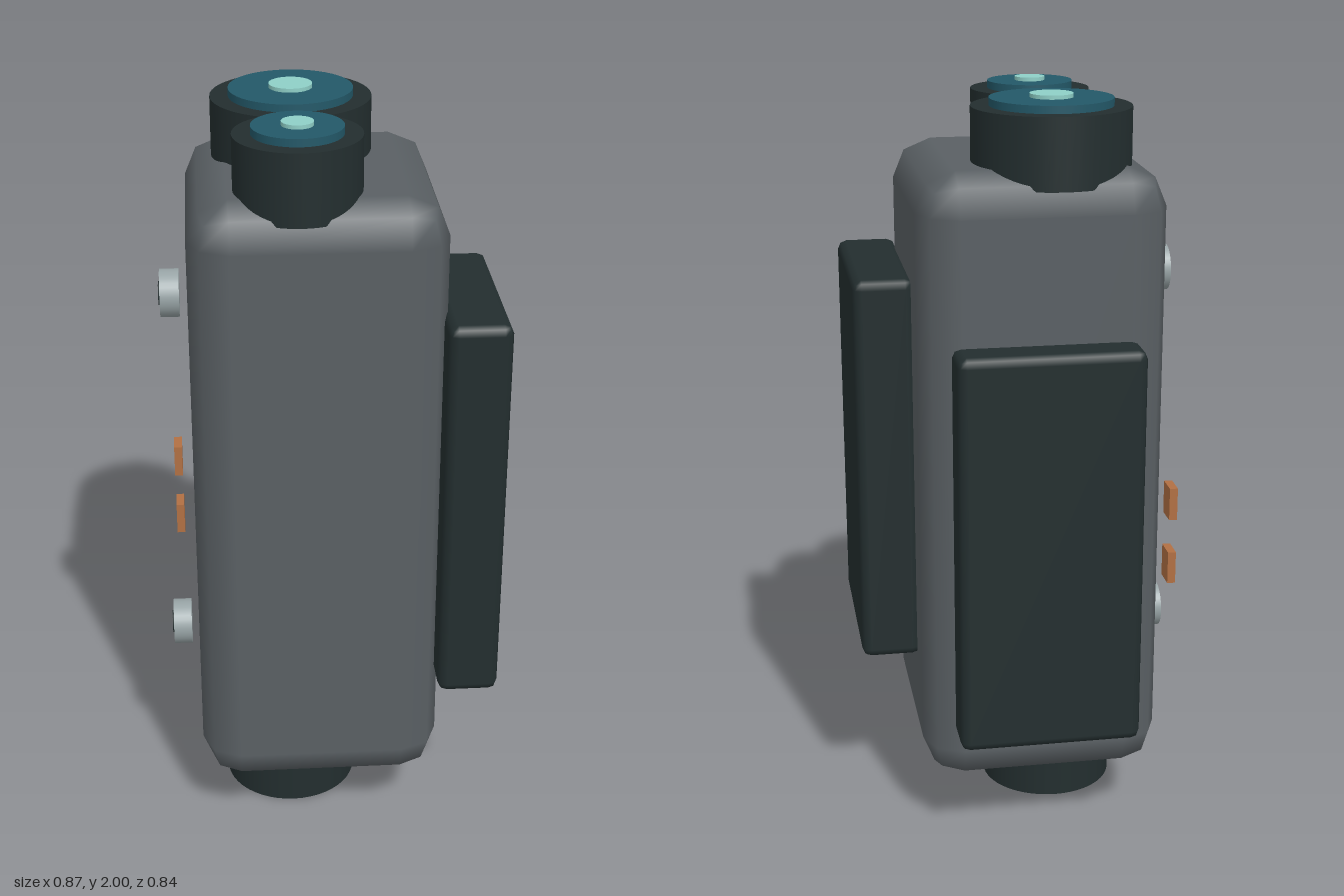
import * as THREE from 'three';
import { RoundedBoxGeometry } from 'three/addons/geometries/RoundedBoxGeometry.js';

function material(name, color) {
  const m = new THREE.MeshStandardMaterial({ color });
  m.name = name;
  return m;
}

export function createModel() {
  const grey = material('housing grey', 0x5a6064);
  const dark = material('dark rubber', 0x232e2f);
  const teal = material('deep teal', 0x235868);
  const mint = material('pale mint', 0x8ecfc7);
  const steel = material('steel', 0x98a4a6);
  const copper = material('copper', 0xb27043);

  const model = new THREE.Group();
  model.name = 'device';

  function add(parent, name, geometry, mat, x, y, z) {
    const mesh = new THREE.Mesh(geometry, mat);
    mesh.name = name;
    mesh.position.set(x, y, z);
    parent.add(mesh);
    return mesh;
  }

  // Upright cylinder between two heights
  function disc(parent, name, mat, radius, y0, y1, x, z) {
    return add(parent, name, new THREE.CylinderGeometry(radius, radius, y1 - y0, 48), mat, x, (y0 + y1) / 2, z);
  }

  // Main housing with softly chamfered edges
  add(model, 'housing', new RoundedBoxGeometry(0.645, 1.665, 0.716, 1, 0.104), grey, -0.04, 0.9975, 0.04);

  // Slabs on the left side and the back
  add(model, 'sidePack', new RoundedBoxGeometry(0.161, 1.063, 0.53, 1, 0.024), dark, 0.3525, 0.9985, 0.155);
  add(model, 'backPack', new RoundedBoxGeometry(0.483, 1.08, 0.161, 1, 0.024), dark, -0.038, 0.86, -0.3415);

  // Round foot under the housing
  disc(model, 'foot', dark, 0.183, 0, 0.22, -0.11, 0.066);

  // Two stepped lenses on top
  const lenses = [
    { name: 'largeLens', z: -0.1, rim: 0.207, glass: 0.16, core: 0.056 },
    { name: 'smallLens', z: 0.225, rim: 0.16, glass: 0.114, core: 0.04 },
  ];
  for (const l of lenses) {
    const lens = new THREE.Group();
    lens.name = l.name;
    disc(lens, 'rim', dark, l.rim, 1.785, 1.97, -0.085, l.z);
    disc(lens, 'glass', teal, l.glass, 1.95, 1.99, -0.085, l.z);
    disc(lens, 'core', mint, l.core, 1.98, 2.0, -0.085, l.z);
    model.add(lens);
  }

  // Socket screws standing off the right side
  for (const y of [0.5, 1.5]) {
    const screw = new THREE.Group();
    screw.name = 'screw';
    const head = add(screw, 'head', new THREE.CylinderGeometry(0.0625, 0.0625, 0.05, 32), steel, -0.41, y, 0.0625);
    const socket = add(screw, 'socket', new THREE.CylinderGeometry(0.031, 0.031, 0.009, 6), dark, -0.4345, y, 0.0625);
    head.rotation.z = socket.rotation.z = Math.PI / 2;
    model.add(screw);
  }

  // Copper contacts
  for (const y of [0.72, 0.905]) {
    add(model, 'contact', new THREE.BoxGeometry(0.022, 0.09, 0.066), copper, -0.409, y, -0.168);
  }

  return model;
}
